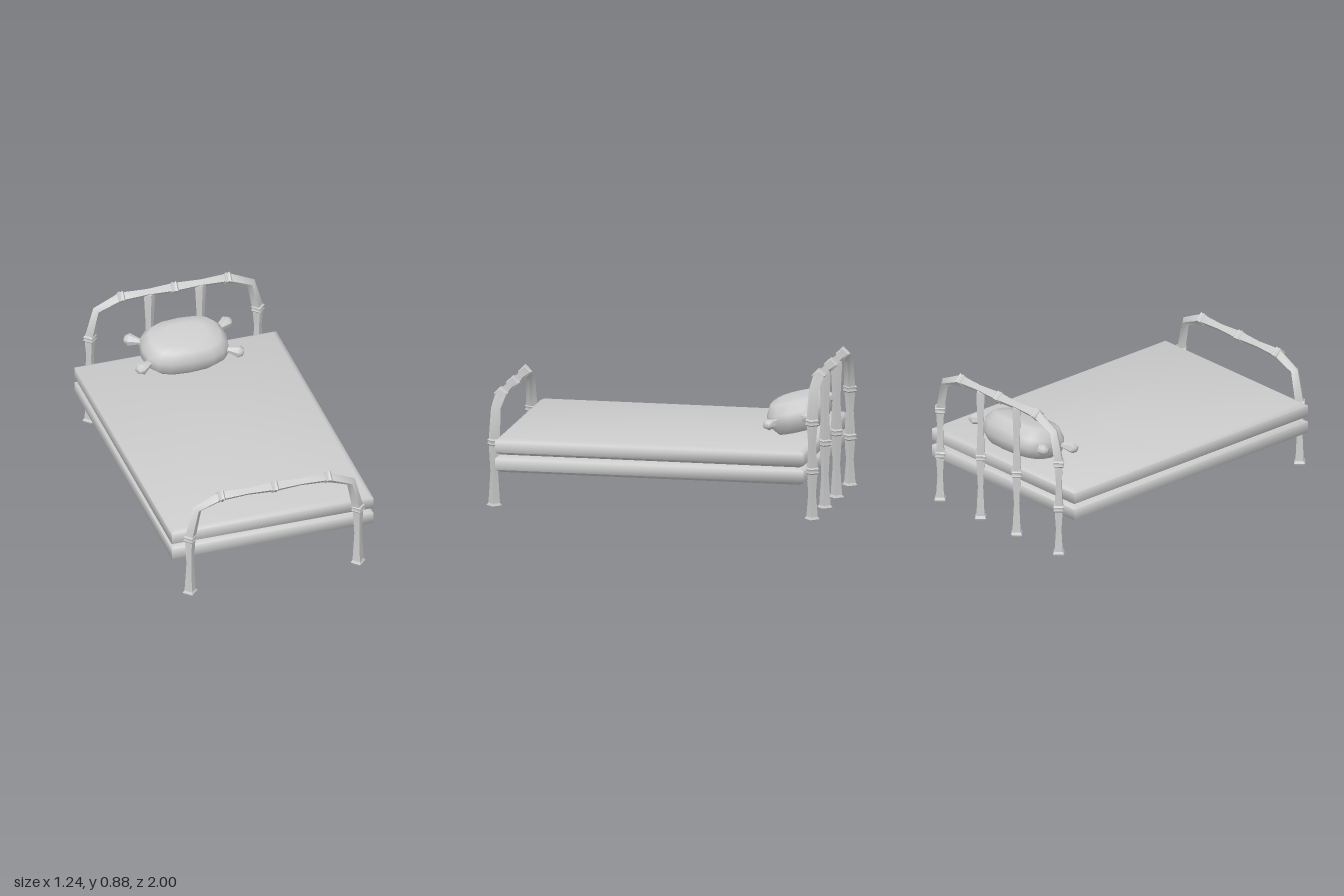
import * as THREE from 'three';
import { toCreasedNormals } from 'three/addons/utils/BufferGeometryUtils.js';

const material = new THREE.MeshStandardMaterial({ color: 0xcccccc });

// Skins a stack of equal-sized rings (counter-clockwise along the direction of travel), closed at both ends.
function loft(rings, crease) {
  const n = rings[0].length, pos = [], index = [];
  rings.forEach(r => r.forEach(p => pos.push(p.x, p.y, p.z)));
  for (let i = 0; i < rings.length - 1; i++) {
    for (let k = 0; k < n; k++) {
      const a = i * n + k, b = i * n + (k + 1) % n;
      index.push(a, b, b + n, a, b + n, a + n);
    }
  }
  [0, rings.length - 1].forEach((i, end) => {
    const c = new THREE.Vector3();
    rings[i].forEach(p => c.addScaledVector(p, 1 / n));
    const centre = pos.length / 3;
    pos.push(c.x, c.y, c.z);
    for (let k = 0; k < n; k++) {
      const a = i * n + k, b = i * n + (k + 1) % n;
      index.push(centre, end ? a : b, end ? b : a);
    }
  });
  const g = new THREE.BufferGeometry();
  g.setAttribute('position', new THREE.Float32BufferAttribute(pos, 3));
  g.setIndex(index);
  return toCreasedNormals(g, crease);
}

function add(parent, name, geometry) {
  const mesh = new THREE.Mesh(geometry, material);
  mesh.name = name;
  parent.add(mesh);
  return mesh;
}

// Diamond-section bar through stations [x, y, radius] in an upright plane.
function bar(stations) {
  const rings = stations.map(([x, y, r], i) => {
    const a = stations[Math.max(i - 1, 0)], b = stations[Math.min(i + 1, stations.length - 1)];
    const t = new THREE.Vector2(b[0] - a[0], b[1] - a[1]).normalize();
    const n = new THREE.Vector3(-t.y * r, t.x * r, 0), c = new THREE.Vector3(x, y, 0);
    const side = new THREE.Vector3(0, 0, r);
    return [c.clone().add(n), c.clone().add(side), c.clone().sub(n), c.clone().sub(side)];
  });
  return loft(rings, 0.9);
}

function lathe(points, sides) {
  return toCreasedNormals(new THREE.LatheGeometry(points.map(p => new THREE.Vector2(...p)), sides), 0.9);
}

// Double-lipped collar at a bamboo node.
const collar = lathe([[0, -0.02], [0.034, -0.02], [0.043, -0.012], [0.036, 0],
  [0.043, 0.012], [0.034, 0.02], [0, 0.02]], 4);
const footGeometry = lathe([[0, 0], [0.038, 0], [0.046, 0.012], [0.036, 0.026], [0, 0.026]], 4);

function addNode(parent, x, y, angle = 0) {
  const mesh = add(parent, 'collar', collar);
  mesh.position.set(x, y, 0);
  mesh.rotation.z = angle;
}

function addFoot(parent, x) {
  add(parent, 'foot', footGeometry).position.x = x;
}

// Bent bamboo end frame; legNodes are the heights of the collars on its legs.
function endFrame(name, legNodes, railY) {
  const frame = new THREE.Group();
  frame.name = name;
  const left = [[-0.518, 0.005, 0.036]];
  let low = 0;
  for (const y of legNodes) {
    left.push([-0.518, low + (y - low) * 0.55, 0.023], [-0.518, y, 0.034]);
    low = y;
  }
  left.push([-0.474, railY - 0.061, 0.029], [-0.33, railY, 0.034], [-0.165, railY, 0.024]);
  const right = left.map(([x, y, r]) => [-x, y, r]).reverse();
  add(frame, 'bentRail', bar([...left, [0, railY, 0.034], ...right]));
  for (const s of [-1, 1]) {
    addFoot(frame, s * 0.518);
    legNodes.forEach(y => addNode(frame, s * 0.518, y));
    addNode(frame, s * 0.33, railY, Math.PI / 2);
  }
  addNode(frame, 0, railY, Math.PI / 2);
  return frame;
}

// Slab with bevelled top and bottom rims.
function slab(y0, y1) {
  const ring = (y, inset) => [[-1, -1], [-1, 1], [1, 1], [1, -1]].map(([sx, sz]) =>
    new THREE.Vector3(sx * (0.622 - inset), y, sz * (0.927 - inset)));
  return loft([ring(y0, 0.03), ring(y0 + 0.017, 0), ring(y1 - 0.017, 0), ring(y1, 0.03)], 1.2);
}

function makePillow() {
  const pillow = new THREE.Group();
  pillow.name = 'pillow';
  // Cushion from rounded-rectangle layers: [height, scale]
  const layers = [[-0.1, 0.55], [-0.092, 0.78], [-0.03, 1], [0.03, 0.98], [0.088, 0.8], [0.098, 0.5]];
  const soft = v => Math.sign(v) * Math.abs(v) ** 0.72;
  const rings = layers.map(([y, s]) => Array.from({ length: 16 }, (_, k) => {
    const a = k / 16 * Math.PI * 2;
    return new THREE.Vector3(0.265 * s * soft(Math.cos(a)), y, -0.178 * s * soft(Math.sin(a)));
  }));
  add(pillow, 'cushion', loft(rings, 1.1));
  // Gathered corner tufts
  const tuft = lathe([[0, 0], [0.026, 0], [0.022, 0.04], [0.042, 0.1], [0.024, 0.125], [0, 0.13]], 6);
  for (const sx of [-1, 1]) {
    for (const sz of [-1, 1]) {
      const mesh = add(pillow, 'tuft', tuft);
      mesh.position.set(sx * 0.215, 0, sz * 0.075);
      const out = new THREE.Vector3(sx * 0.88, 0, sz * 0.47).normalize();
      const across = new THREE.Vector3(0, 1, 0).cross(out);
      mesh.quaternion.setFromRotationMatrix(
        new THREE.Matrix4().makeBasis(across, out, across.clone().cross(out)));
      mesh.scale.set(1, 1, 0.8);
    }
  }
  pillow.position.set(0, 0.548, -0.765);
  pillow.rotation.x = 0.24;
  return pillow;
}

export function createModel() {
  const bed = new THREE.Group();
  bed.name = 'bed';

  add(bed, 'baseMattress', slab(0.228, 0.33));
  add(bed, 'topMattress', slab(0.332, 0.434));

  const footboard = endFrame('footboard', [0.39], 0.645);
  footboard.position.z = 0.955;
  const headboard = endFrame('headboard', [0.3, 0.588], 0.835);
  headboard.position.z = -0.955;
  bed.add(footboard, headboard);

  // Two inner uprights of the headboard
  for (const x of [-0.15, 0.165]) {
    add(headboard, 'upright', bar([[x, 0.005, 0.036], [x, 0.21, 0.022], [x, 0.4, 0.034],
      [x, 0.6, 0.024], [x, 0.8, 0.034], [x, 0.825, 0.03]]));
    addFoot(headboard, x);
    addNode(headboard, x, 0.4);
  }

  bed.add(makePillow());
  return bed;
}
